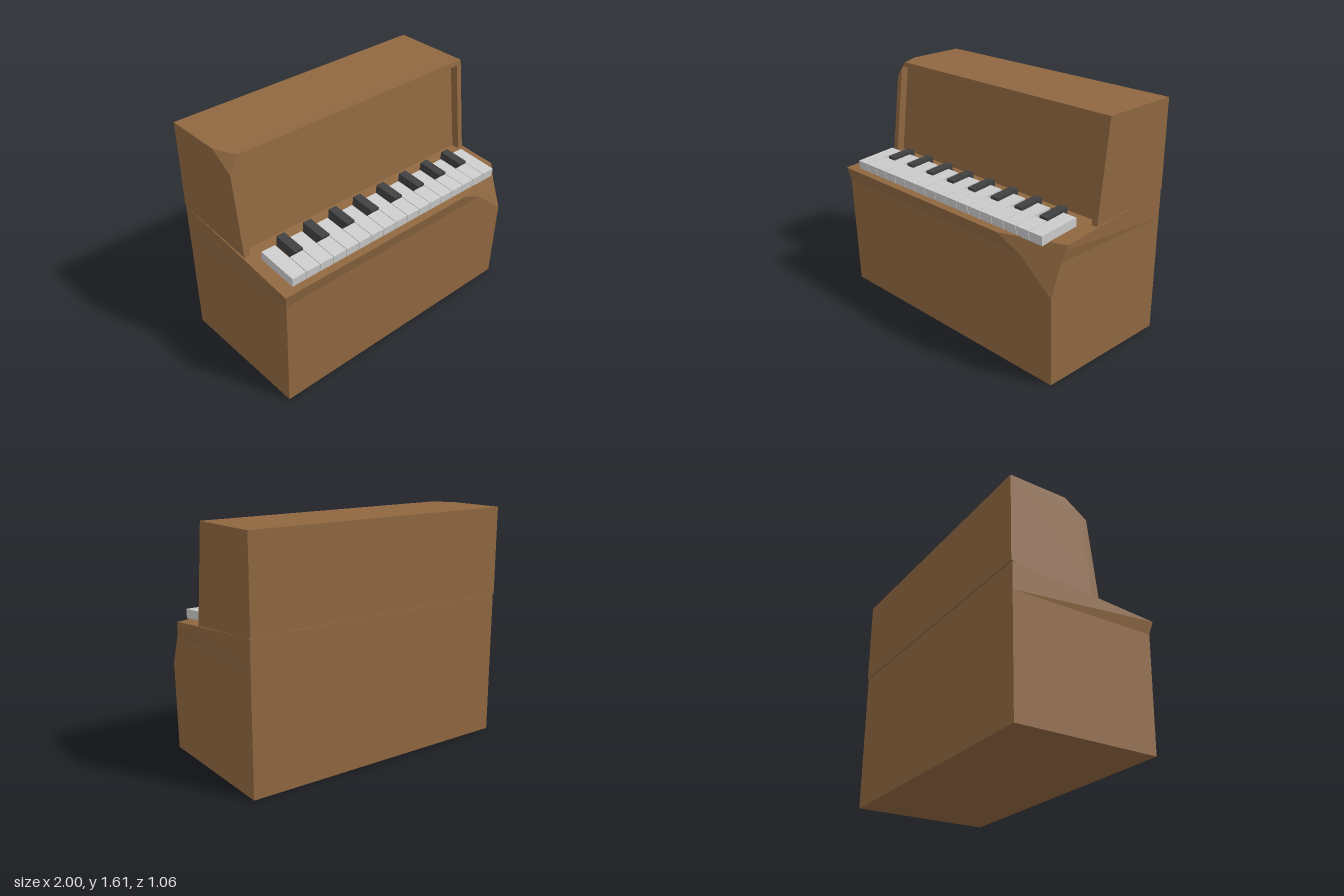
import * as THREE from 'three';
import { ConvexGeometry } from 'three/addons/geometries/ConvexGeometry.js';

const V = (x, y, z) => new THREE.Vector3(x, y, z);
const wood = new THREE.MeshStandardMaterial({ color: 0x8f6740 });
const ivory = new THREE.MeshStandardMaterial({ color: 0xcccccc });
const ebony = new THREE.MeshStandardMaterial({ color: 0x404040 });

// Plane through three points, facing away from the inside point
function cutPlane(a, b, c, inside) {
  const plane = new THREE.Plane().setFromCoplanarPoints(a, b, c);
  return plane.distanceToPoint(inside) > 0 ? plane.negate() : plane;
}

// Convex block, with everything in front of the plane sliced off
function block(name, points, plane) {
  const kept = points.filter((p) => plane.distanceToPoint(p) <= 0);
  const lost = points.filter((p) => plane.distanceToPoint(p) > 0);
  const out = [...kept];
  for (const p of kept) {
    for (const q of lost) {
      const dp = plane.distanceToPoint(p), dq = plane.distanceToPoint(q);
      out.push(p.clone().lerp(q, dp / (dp - dq)));
    }
  }
  const mesh = new THREE.Mesh(new ConvexGeometry(out), wood);
  mesh.name = name;
  return mesh;
}

// Side profile [z, y] swept between two x values
const sweep = (profile, x0, x1) =>
  profile.flatMap(([z, y]) => [V(x0, y, z), V(x1, y, z)]);

function key(name, x0, x1, z0, z1, y0, y1, material) {
  const mesh = new THREE.Mesh(new THREE.BoxGeometry(x1 - x0, y1 - y0, z1 - z0), material);
  mesh.position.set((x0 + x1) / 2, (y0 + y1) / 2, (z0 + z1) / 2);
  mesh.name = name;
  return mesh;
}

export function createModel() {
  const piano = new THREE.Group();
  piano.name = 'uprightPiano';

  // Lower body and flared key shelf, with the left front corner chipped away
  const shelfCut = cutPlane(V(0.56, 0.9, 0.53), V(1, 0.915, 0.38), V(0.983, 0.6, 0.501), V(0, 0.4, 0));
  const W = 0.983;
  piano.add(block('lowerBody', sweep([[0.48, 0], [0.508, 0.81], [-0.523, 0.81], [-0.523, 0]], -W, W), shelfCut));
  piano.add(block('keyShelf', [
    ...sweep([[0.508, 0.81], [-0.523, 0.81], [-0.523, 1]], -W, W),
    ...sweep([[0.53, 0.9]], -1, 1),
  ], shelfCut));

  // Upper cabinet: recessed panel framed by two stiles and a top rail, one top corner bevelled
  const topCut = cutPlane(V(-W, 1.61, -0.12), V(-0.91, 1.607, 0.03), V(-W, 1.5, 0.043), V(0, 1.2, -0.2));
  const cabinet = new THREE.Group();
  cabinet.name = 'upperCabinet';
  cabinet.add(block('cabinetBody',
    sweep([[0.056, 0.93], [-0.024, 1.607], [-0.53, 1.613], [-0.53, 1.005], [-0.3, 0.96]], -W, W), topCut));
  const frame = [[0.112, 0.93], [0.032, 1.607], [-0.03, 1.607], [0.05, 0.93]];
  for (const s of [-1, 1]) {
    cabinet.add(block(s > 0 ? 'leftStile' : 'rightStile', sweep(frame, s * 0.942, s * W), topCut));
  }
  cabinet.add(block('topRail',
    sweep([[0.036, 1.575], [0.032, 1.607], [-0.03, 1.607], [-0.03, 1.575]], -W, W), topCut));
  piano.add(cabinet);

  // Keyboard, tilted to follow the shelf
  const keyboard = new THREE.Group();
  keyboard.name = 'keyboard';
  keyboard.position.set(0, 0.9, 0.53);
  keyboard.rotation.x = Math.atan(0.095);
  const pitch = 0.1056, gap = 0.002;
  for (let i = 0; i < 17; i++) {
    const x = -0.91 + i * pitch;
    const short = i % 2 === 1;
    keyboard.add(key('whiteKey', x + gap, x + pitch - gap, short ? -0.212 : -0.352, -0.052, -0.004, 0.06, ivory));
    if (short) {
      keyboard.add(key('blackKey', x + 0.042, x + pitch - gap, -0.394, -0.213, -0.004, 0.078, ebony));
    }
  }
  piano.add(keyboard);
  return piano;
}
